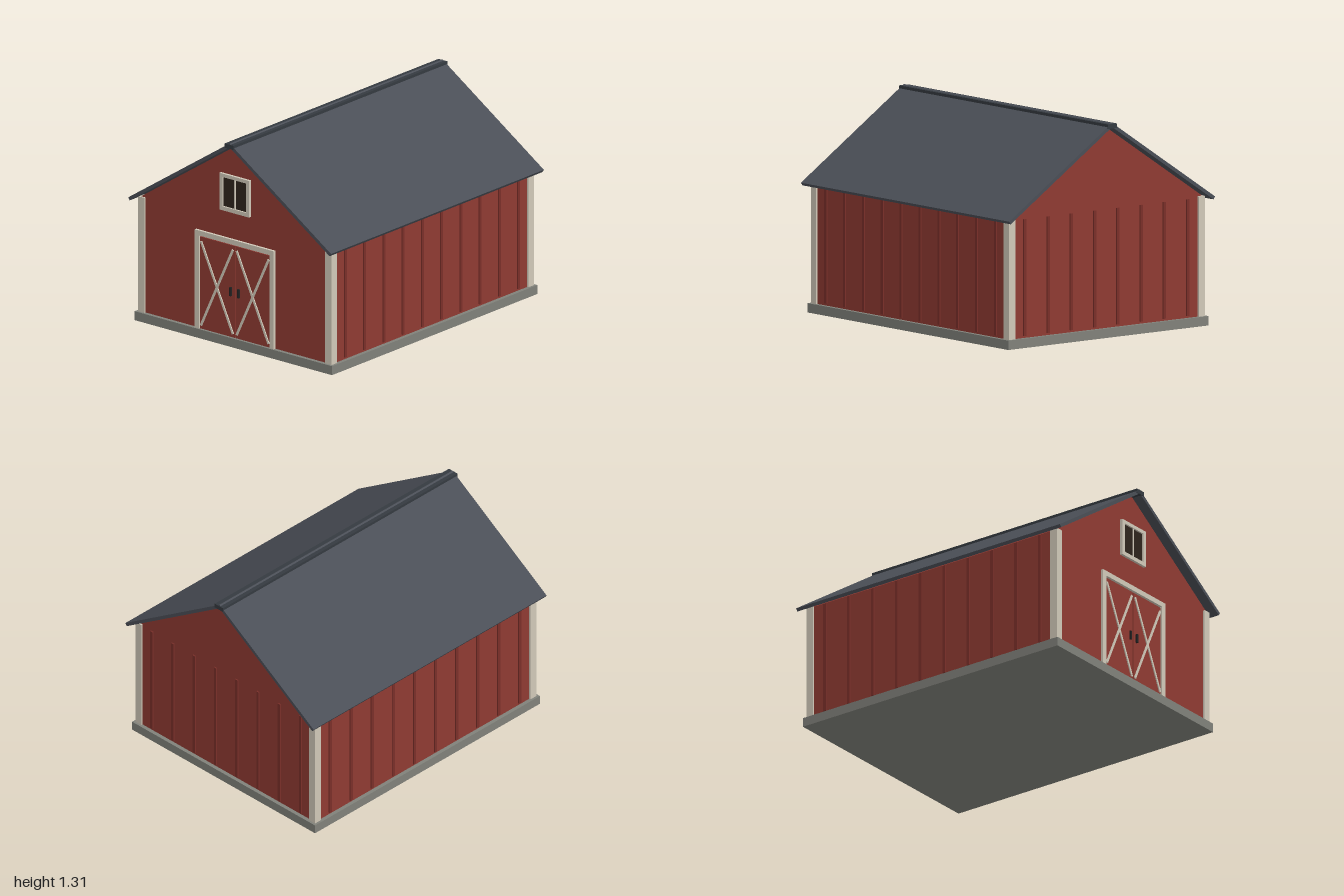
import * as THREE from 'three';

const mat = (color) => new THREE.MeshStandardMaterial({ color, flatShading: true });
const RED = mat(0x8f3a32), BATTEN = mat(0x7a2f29), CREAM = mat(0xd0c8b8), STONE = mat(0x80817a);
const ROOF = mat(0x4a4e56), CAP = mat(0x353a40), DARK = mat(0x2e241c), IRON = mat(0x222222);

export function createModel() {
  const barn = new THREE.Group();
  barn.name = 'barn';

  const add = (name, geometry, material) => {
    const mesh = new THREE.Mesh(geometry, material);
    mesh.name = name;
    barn.add(mesh);
    return mesh;
  };
  // Box given by its limits on each axis
  const box = (name, material, x0, x1, y0, y1, z0, z1) => {
    const mesh = add(name, new THREE.BoxGeometry(x1 - x0, y1 - y0, z1 - z0), material);
    mesh.position.set((x0 + x1) / 2, (y0 + y1) / 2, (z0 + z1) / 2);
    return mesh;
  };
  // Outline, with optional hole, extruded evenly about z = 0 or from z0
  const prism = (name, material, points, depth, z0 = -depth / 2, hole) => {
    const shape = new THREE.Shape(points.map(([x, y]) => new THREE.Vector2(x, y)));
    if (hole) shape.holes.push(new THREE.Path(hole.map(([x, y]) => new THREE.Vector2(x, y))));
    const geometry = new THREE.ExtrudeGeometry(shape, { depth, bevelEnabled: false });
    return add(name, geometry.translate(0, 0, z0), material);
  };
  const rect = (w, y0, y1) => [[-w, y0], [w, y0], [w, y1], [-w, y1]];

  const base = 0.057, wallX = 0.75, wallZ = 0.935;

  // Foundation and gabled body
  box('foundation', STONE, -0.775, 0.775, 0, base, -0.96, 0.96);
  prism('walls', RED, [[-wallX, base], [wallX, base], [wallX, 0.787], [0, 1.279], [-wallX, 0.787]], wallZ * 2);

  // Two roof slabs and the ridge cap
  for (const s of [1, -1]) {
    const slab = [[0, 1.286], [s * 0.785, 0.77], [s * 0.797, 0.787], [0, 1.311]];
    prism('roofSlab', ROOF, slab, 1.99);
  }
  box('ridgeCap', CAP, -0.035, 0.035, 1.278, 1.305, -1, 1);

  // Corner boards
  for (const sx of [1, -1]) for (const sz of [1, -1]) {
    const post = box('cornerBoard', CREAM, -0.025, 0.025, base, 0.79, -0.026, 0.026);
    post.position.x = sx * 0.735;
    post.position.z = sz * 0.92;
  }

  // Battens on both sides and on the back
  for (let i = 0; i < 10; i++) {
    const z = -0.81 + i * 0.18;
    for (const s of [1, -1]) {
      const batten = box('sideBatten', BATTEN, -0.008, 0.008, 0.07, 0.78, z - 0.01, z + 0.01);
      batten.position.x = s * wallX;
    }
  }
  for (let i = 0; i < 8; i++) {
    const x = -0.63 + i * 0.18;
    box('backBatten', BATTEN, x - 0.01, x + 0.01, 0.07, 0.78, -wallZ - 0.008, -wallZ + 0.008);
  }

  // Door frame: an upside-down U
  prism('doorFrame', CREAM, [[-0.31, base], [-0.277, base], [-0.277, 0.65], [0.277, 0.65],
    [0.277, base], [0.31, base], [0.31, 0.682], [-0.31, 0.682]], 0.02, wallZ - 0.003);

  // Door leaves with crossed braces and handles
  for (const s of [1, -1]) {
    const leaf = box('doorLeaf', RED, -0.136, 0.136, base, 0.642, wallZ - 0.01, wallZ + 0.008);
    leaf.position.x = s * 0.139;
    for (const lean of [1, -1]) {
      const brace = add('doorBrace', new THREE.BoxGeometry(0.014, 0.592, 0.01), CREAM);
      brace.position.set(s * 0.14, 0.348, wallZ + 0.01);
      brace.rotation.z = lean * Math.atan2(0.25, 0.535);
    }
    const handle = box('doorHandle', IRON, -0.006, 0.006, 0.32, 0.375, wallZ, wallZ + 0.02);
    handle.position.x = s * 0.031;
  }

  // Loft window
  box('windowPane', DARK, -0.1, 0.1, 0.87, 1.075, wallZ - 0.01, wallZ + 0.006);
  prism('windowFrame', CREAM, rect(0.117, 0.853, 1.087), 0.02, wallZ - 0.003, rect(0.093, 0.878, 1.065));
  box('windowMullion', CREAM, -0.005, 0.005, 0.87, 1.07, wallZ, wallZ + 0.013);

  return barn;
}
